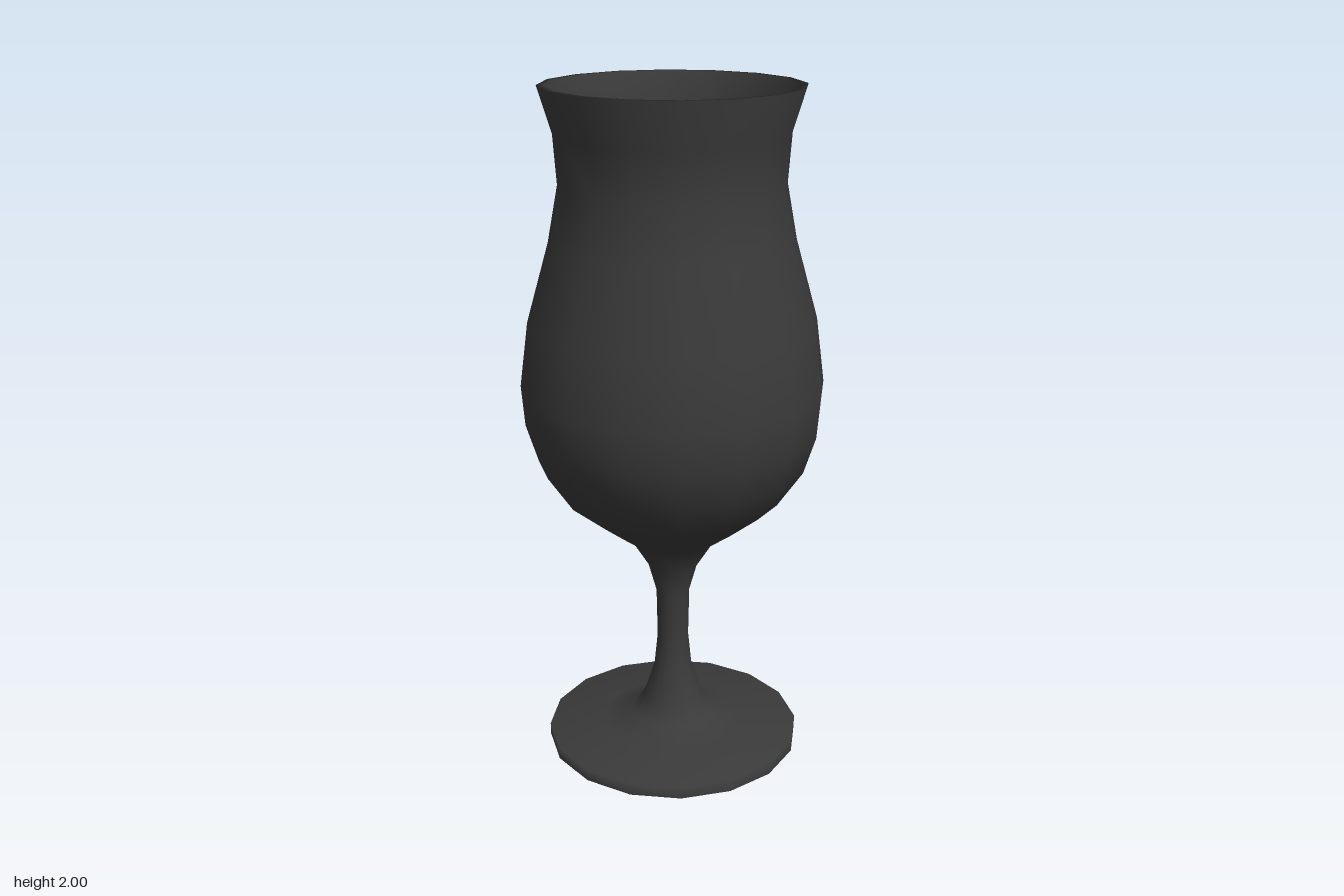
import * as THREE from 'three';

const SIDES = 16;
const material = new THREE.MeshStandardMaterial({ color: 0x3a3a3a });

// Turns a list of [radius, height] pairs into a smooth lathed surface
function turned(name, profile) {
  const points = profile.map(([r, y]) => new THREE.Vector2(r, y));
  const mesh = new THREE.Mesh(new THREE.LatheGeometry(points, SIDES), material);
  mesh.name = name;
  return mesh;
}

export function createModel() {
  const glass = new THREE.Group();
  glass.name = 'stemmedGlass';

  // Flat underside of the foot
  glass.add(turned('footUnderside', [[0, 0], [0.385, 0]]));

  // One continuous skin: foot, stem, bowl, flared lip, then down the inside
  glass.add(turned('glassBody', [
    // foot
    [0.385, 0], [0.385, 0.035], [0.22, 0.05], [0.125, 0.085],
    // stem
    [0.09, 0.135], [0.057, 0.24], [0.047, 0.34], [0.05, 0.49], [0.075, 0.58], [0.125, 0.66],
    // bowl
    [0.22, 0.73], [0.32, 0.81], [0.395, 0.92], [0.43, 1.03], [0.44, 1.15],
    [0.415, 1.34], [0.35, 1.57], [0.32, 1.73], [0.33, 1.87],
    // lip
    [0.37, 2.0], [0.35, 2.0],
    // inside of the bowl
    [0.313, 1.87], [0.303, 1.73], [0.333, 1.57], [0.398, 1.34], [0.422, 1.15],
    [0.412, 1.03], [0.378, 0.93], [0.308, 0.83], [0.21, 0.75], [0.11, 0.695], [0, 0.67],
  ]));

  return glass;
}
